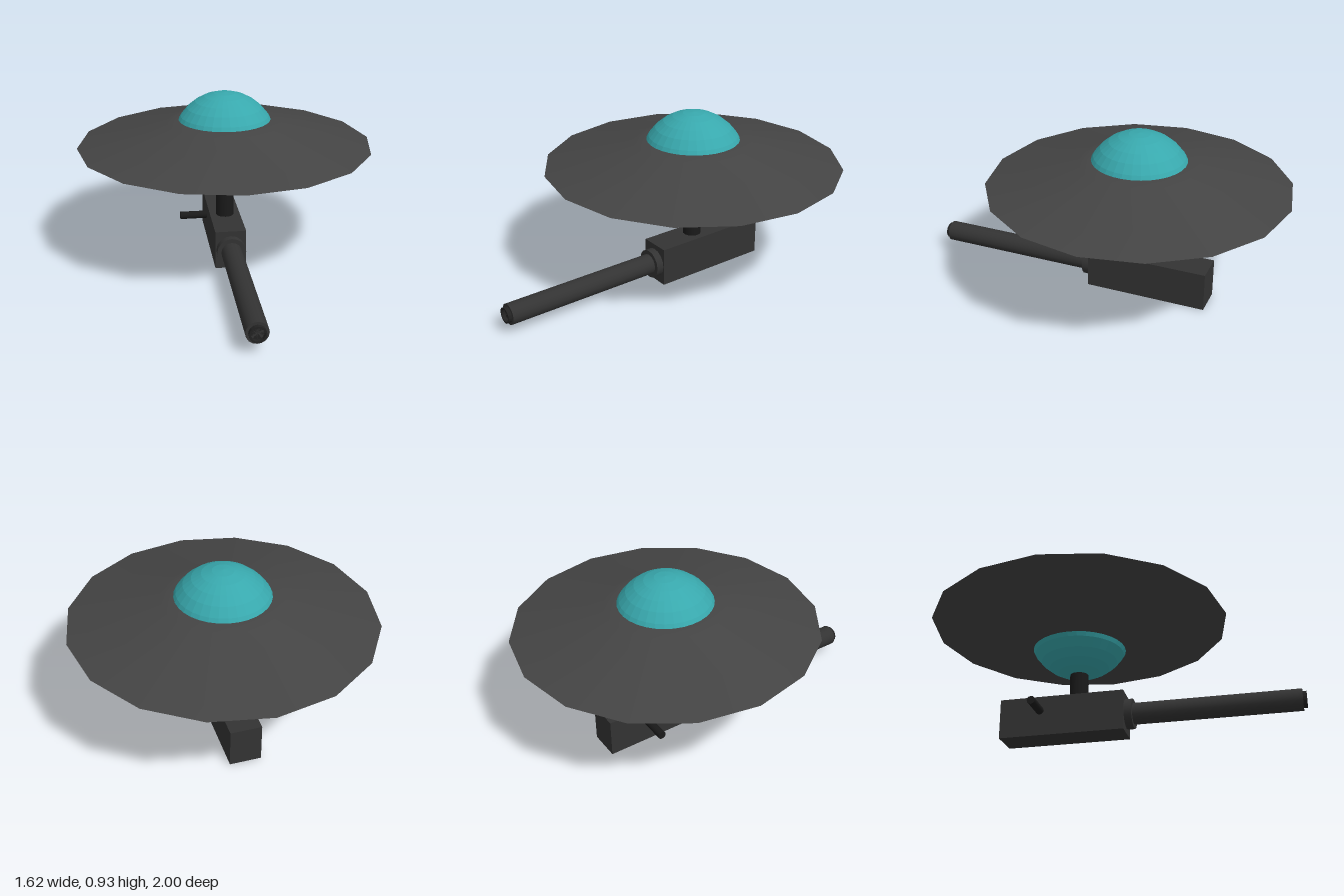
import * as THREE from 'three';

const mat = (color, extra = {}) => new THREE.MeshStandardMaterial({ color, ...extra });
const DISC_Z = -0.19, BARREL_Y = 0.108;

export function createModel() {
  const model = new THREE.Group();
  const hull = mat(0x444444), gun = mat(0x333333), gunFlat = mat(0x333333, { flatShading: true });
  const dark = mat(0x1a1a1a), teal = mat(0x38a8ad, { flatShading: true });

  const add = (name, geometry, material, x, y, z, parent = model) => {
    const mesh = new THREE.Mesh(geometry, material);
    mesh.name = name;
    mesh.position.set(x, y, z);
    parent.add(mesh);
    return mesh;
  };
  const lathe = (points, sides) =>
    new THREE.LatheGeometry(points.map(([r, y]) => new THREE.Vector2(r, y)), sides);

  // Saucer: two shallow cones meeting at a sharp rim
  const saucer = new THREE.Group();
  saucer.name = 'saucer';
  saucer.position.set(0, 0.64, DISC_Z);
  model.add(saucer);
  const slope = [[0.81, 0], [0.32, 0.125], [0.27, 0.14], [0.2, 0.14]];
  add('upperHull', lathe(slope, 16), hull, 0, 0, 0, saucer);
  add('lowerHull', lathe(slope.map(([r, y]) => [r, -y]).reverse(), 16), hull, 0, 0, 0, saucer);

  // Globe showing above and below the saucer
  add('globe', new THREE.SphereGeometry(0.29, 32, 16), teal, 0, 0, 0, saucer);

  // Post joining the globe to the gun body
  add('post', new THREE.CylinderGeometry(0.05, 0.05, 0.2, 16), dark, 0, 0.29, DISC_Z);

  // Gun body
  add('gunBody', new THREE.BoxGeometry(0.17, 0.215, 0.67), gunFlat, 0, 0.1075, -0.265);

  // Collar, barrel and hollow muzzle, all along +z
  const along = (name, r, z0, z1, material) => {
    const geometry = new THREE.CylinderGeometry(r, r, z1 - z0, 16).rotateX(Math.PI / 2);
    add(name, geometry, material, 0, BARREL_Y, (z0 + z1) / 2);
  };
  along('barrelCollar', 0.08, 0.05, 0.11, gun);
  along('barrel', 0.057, 0.1, 0.98, gun);
  const ring = lathe([[0.043, 0], [0.043, 0.022], [0.034, 0.022], [0.034, 0.002], [0, 0.002]], 16)
    .rotateX(Math.PI / 2);
  add('muzzle', ring, mat(0x222222, { flatShading: true }), 0, BARREL_Y, 0.978);

  // Side handle on the right of the body
  add('sideHandle', new THREE.CylinderGeometry(0.022, 0.022, 0.18, 12).rotateZ(Math.PI / 2),
    dark, -0.15, 0.137, -0.38);

  return model;
}
